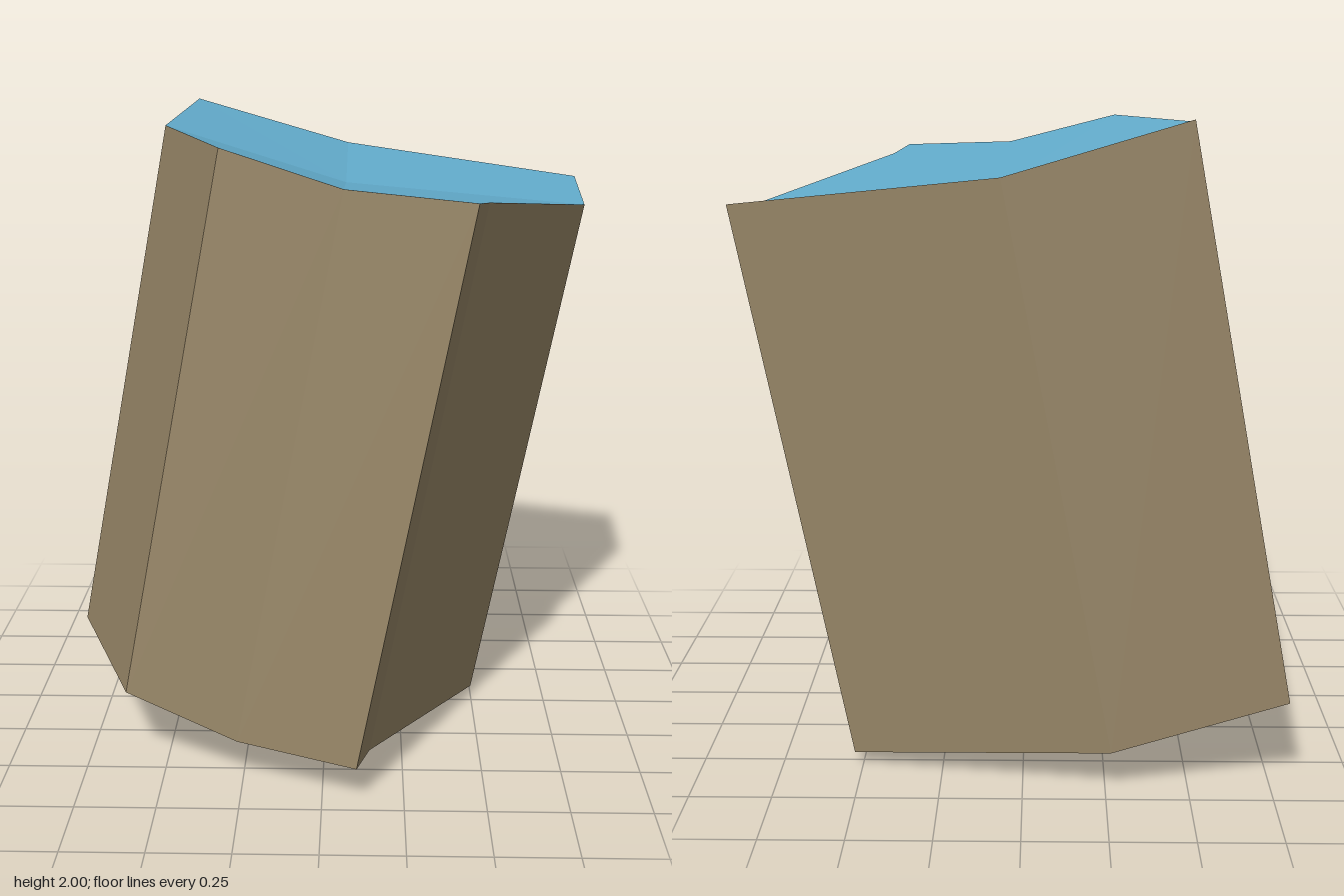
import * as THREE from 'three';

// Outline of the upper end, clockwise from the back left corner: x, y, z
const RIM = [
  [-0.47, 2.0, -0.70], [0.06, 1.845, -0.72], [0.85, 1.75, -0.53],
  [0.83, 1.71, -0.11], [0.47, 1.81, 0.56], [0.43, 1.83, 0.72],
  [0.06, 1.85, 0.59], [-0.30, 1.95, 0.46], [-0.52, 1.96, -0.11],
].map((p) => new THREE.Vector3(...p));
const CENTRE = new THREE.Vector3(0.06, 1.78, -0.11);
// The block is a leaning prism: the lower end is the upper end moved along this
const LEAN = new THREE.Vector3(-0.325, -1.705, 0);
const lower = (p) => p.clone().add(LEAN);

function facetMesh(name, points, color, colorName) {
  const geometry = new THREE.BufferGeometry().setFromPoints(points);
  geometry.computeVertexNormals(); // unshared corners give flat facets
  const material = new THREE.MeshStandardMaterial({ color });
  material.name = colorName;
  const mesh = new THREE.Mesh(geometry, material);
  mesh.name = name;
  return mesh;
}

export function createModel() {
  const top = [], bottom = [], walls = [];
  RIM.forEach((a, i) => {
    const b = RIM[(i + 1) % RIM.length];
    const c = lower(a), d = lower(b);
    top.push(CENTRE, b, a);
    bottom.push(lower(CENTRE), c, d);
    walls.push(a, b, d, a, d, c);
  });

  const group = new THREE.Group();
  group.name = 'leaningBlock';
  group.add(
    facetMesh('sideWalls', walls, 0x978667, 'tan'),
    facetMesh('topFace', top, 0x62abcb, 'light blue'),
    facetMesh('bottomFace', bottom, 0x0c4a66, 'deep blue'),
  );
  return group;
}
